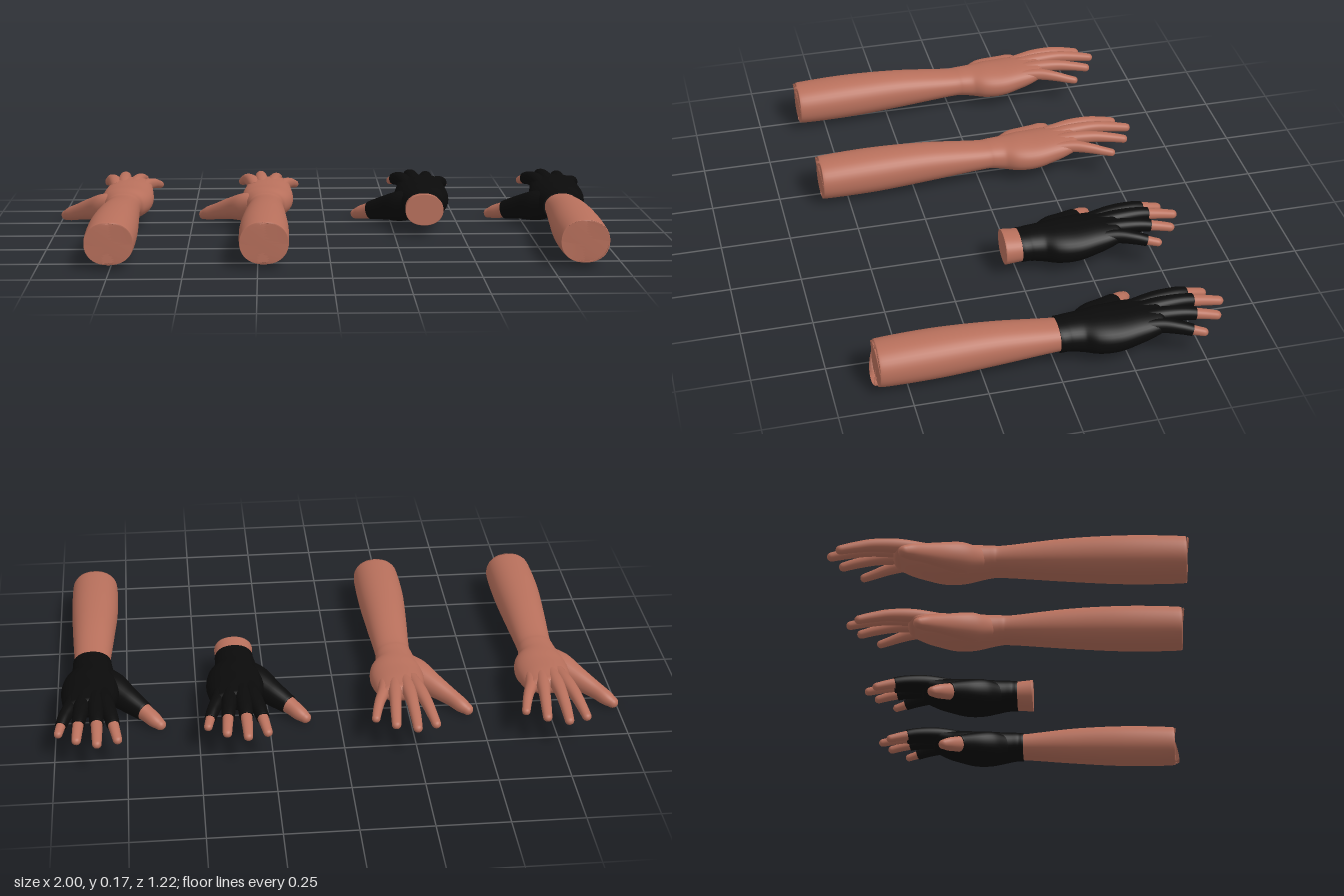
import * as THREE from 'three';

const skin = new THREE.MeshStandardMaterial({ color: 0xb8705c });
skin.name = 'skin';
const fabric = new THREE.MeshStandardMaterial({ color: 0x0b0b0b });
fabric.name = 'black glove fabric';

// Sections: [x, y, z, half width, half height], always running towards -z
const ARM = [
  [-0.003, 0.091, 0.597, 0.078, 0.068], [-0.003, 0.091, 0.58, 0.085, 0.075],
  [-0.003, 0.095, 0.4, 0.086, 0.078], [0, 0.1, 0.2, 0.076, 0.069],
  [0.003, 0.1, 0, 0.064, 0.05], [0.002, 0.1, -0.05, 0.066, 0.05],
  [0.001, 0.096, -0.1, 0.074, 0.055], [0.006, 0.096, -0.15, 0.091, 0.058],
  [0.009, 0.098, -0.2, 0.096, 0.057], [0.01, 0.106, -0.25, 0.094, 0.052],
  [0.012, 0.116, -0.3, 0.087, 0.045], [0.011, 0.13, -0.355, 0.08, 0.031],
];

const DIGITS = {
  thumb: {
    cuff: -0.262,
    path: [[-0.03, 0.092, -0.09, 0.04, 0.04], [-0.07, 0.08, -0.15, 0.05, 0.052],
      [-0.123, 0.064, -0.21, 0.038, 0.042], [-0.178, 0.044, -0.262, 0.028, 0.031],
      [-0.212, 0.03, -0.298, 0.026, 0.026], [-0.233, 0.021, -0.318, 0.02, 0.019]],
  },
  indexFinger: {
    cuff: -0.48,
    path: [[-0.036, 0.132, -0.27, 0.022, 0.022], [-0.05, 0.14, -0.36, 0.024, 0.024],
      [-0.066, 0.136, -0.44, 0.021, 0.021], [-0.078, 0.123, -0.5, 0.018, 0.018],
      [-0.087, 0.11, -0.546, 0.016, 0.015]],
  },
  middleFinger: {
    cuff: -0.488,
    path: [[-0.008, 0.135, -0.27, 0.022, 0.022], [-0.013, 0.143, -0.36, 0.025, 0.024],
      [-0.016, 0.144, -0.45, 0.021, 0.021], [-0.018, 0.134, -0.52, 0.019, 0.018],
      [-0.018, 0.121, -0.584, 0.016, 0.015]],
  },
  ringFinger: {
    cuff: -0.48,
    path: [[0.026, 0.134, -0.27, 0.022, 0.022], [0.034, 0.141, -0.36, 0.024, 0.023],
      [0.042, 0.14, -0.44, 0.02, 0.02], [0.048, 0.13, -0.505, 0.018, 0.017],
      [0.052, 0.119, -0.553, 0.016, 0.015]],
  },
  littleFinger: {
    cuff: -0.452,
    path: [[0.062, 0.127, -0.27, 0.021, 0.022], [0.074, 0.131, -0.35, 0.021, 0.022],
      [0.094, 0.126, -0.41, 0.018, 0.019], [0.107, 0.116, -0.455, 0.016, 0.016],
      [0.115, 0.108, -0.489, 0.0145, 0.014]],
  },
};

// Smooth loft of rounded sections between two z positions, with a domed or flat end
function loft(sections, { from = 9, to = -9, grow = 0, dome = 0, sides = 28, steps = 32 }) {
  const curve = (pts) => new THREE.CatmullRomCurve3(pts, false, 'catmullrom', 0.5);
  const path = curve(sections.map(([x, y, z]) => new THREE.Vector3(x, y, z)));
  const size = curve(sections.map((s) => new THREE.Vector3(s[3], s[4], 0)));
  const find = (z) => {
    let lo = 0, hi = 1;
    for (let i = 0; i < 24; i++) {
      const mid = (lo + hi) / 2;
      if (path.getPoint(mid).z > z) lo = mid; else hi = mid;
    }
    return hi;
  };
  const t0 = find(from), t1 = find(to);
  const up = new THREE.Vector3(0, 1, 0);
  const pos = [], index = [];
  let rings = 0;
  const addRing = (t, scale, push) => {
    const tangent = path.getTangent(t);
    const side = tangent.clone().cross(up).normalize();
    const top = side.clone().cross(tangent);
    const c = path.getPoint(t).addScaledVector(tangent, push);
    const r = size.getPoint(t);
    const round = (v) => Math.sign(v) * Math.abs(v) ** 0.92;
    for (let j = 0; j < sides; j++) {
      const a = (j / sides) * Math.PI * 2;
      const p = c.clone()
        .addScaledVector(side, round(Math.cos(a)) * (r.x + grow) * scale)
        .addScaledVector(top, round(Math.sin(a)) * (r.y + grow) * scale);
      pos.push(p.x, p.y, p.z);
    }
    rings++;
  };
  // Flat start, body, then the end
  addRing(t0, 0.02, 0);
  addRing(t0, 0.97, 0);
  for (let i = 0; i <= steps; i++) addRing(t0 + (t1 - t0) * (i / steps), 1, 0);
  if (dome) {
    for (let k = 1; k <= 6; k++) {
      const a = (k / 6) * Math.PI * 0.495;
      addRing(t1, Math.cos(a), dome * Math.sin(a));
    }
  } else {
    addRing(t1, 0.97, 0);
    addRing(t1, 0.02, 0);
  }
  for (let i = 0; i < rings - 1; i++) {
    for (let j = 0; j < sides; j++) {
      const k = (j + 1) % sides;
      const a = i * sides + j, b = i * sides + k;
      index.push(a, a + sides, b, b, a + sides, b + sides);
    }
  }
  const last = (rings - 1) * sides;
  for (let j = 1; j < sides - 1; j++) index.push(0, j, j + 1, last, last + j + 1, last + j);
  const geo = new THREE.BufferGeometry();
  geo.setAttribute('position', new THREE.Float32BufferAttribute(pos, 3));
  geo.setIndex(index);
  geo.computeVertexNormals();
  return geo;
}

function part(group, name, material, sections, options) {
  const mesh = new THREE.Mesh(loft(sections, options), material);
  mesh.name = name;
  group.add(mesh);
}

function bareArm() {
  const g = new THREE.Group();
  part(g, 'forearmAndPalm', skin, ARM, { dome: 0.025, sides: 40, steps: 70 });
  for (const [name, d] of Object.entries(DIGITS)) {
    part(g, name, skin, d.path, { dome: d.path.at(-1)[3] });
  }
  return g;
}

// Fingerless glove over an arm that begins at the given z
function glovedArm(start, wristGrow) {
  const g = new THREE.Group();
  part(g, 'forearm', skin, ARM, { from: start, to: -0.04, grow: wristGrow, sides: 40, steps: 40 });
  part(g, 'glovePalm', fabric, ARM, { from: -0.012, grow: 0.006, dome: 0.025, sides: 40, steps: 50 });
  for (const [name, d] of Object.entries(DIGITS)) {
    part(g, name, skin, d.path, { from: d.cuff + 0.02, dome: d.path.at(-1)[3], steps: 14 });
    part(g, name + 'Sleeve', fabric, d.path, { to: d.cuff, grow: 0.004 });
  }
  return g;
}

export function createModel() {
  const model = new THREE.Group();
  model.name = 'handsAndGloves';
  const items = [
    ['bareArmOuter', bareArm(), -0.75], ['bareArmInner', bareArm(), -0.225],
    ['gloveWithWrist', glovedArm(0.047, 0.003), 0.355], ['glovedArm', glovedArm(9, 0), 0.867],
  ];
  for (const [name, item, x] of items) {
    item.name = name;
    item.position.x = x;
    model.add(item);
  }
  return model;
}
